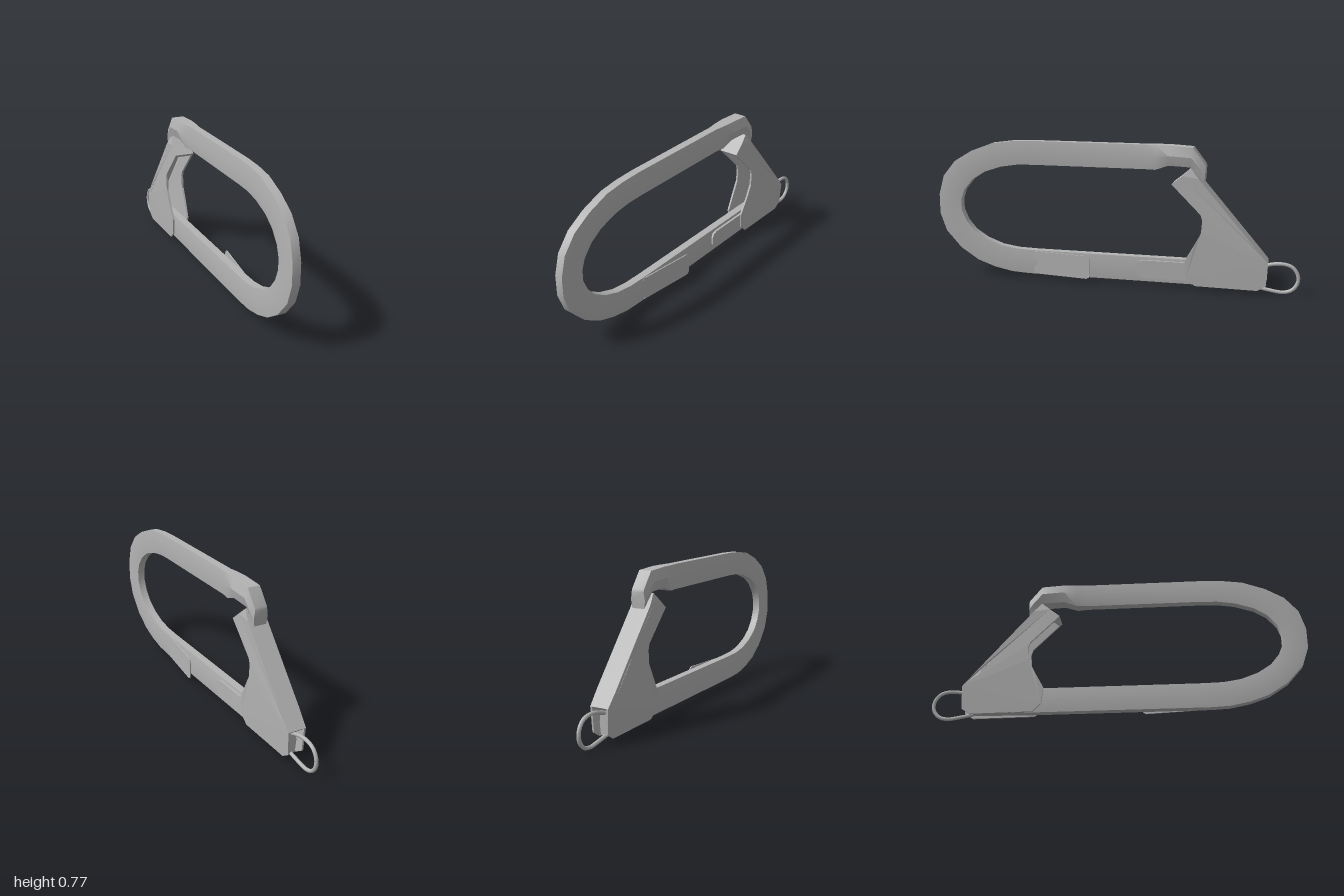
import * as THREE from 'three';
import { toCreasedNormals } from 'three/addons/utils/BufferGeometryUtils.js';

const CX = -0.005; // middle plane of the hook

// Closed loft through equal-length loops of [x, y, z] corners
function loft(loops) {
  const n = loops[0].length, idx = [], last = (loops.length - 1) * n;
  for (let i = 0; i < loops.length - 1; i++) {
    for (let j = 0; j < n; j++) {
      const a = i * n + j, b = i * n + (j + 1) % n;
      idx.push(a, b, b + n, a, b + n, a + n);
    }
  }
  for (let k = 1; k < n - 1; k++) {
    idx.push(0, k + 1, k, last, last + k, last + k + 1);
  }
  const g = new THREE.BufferGeometry();
  g.setAttribute('position', new THREE.Float32BufferAttribute(loops.flat(2), 3));
  g.setIndex(idx);
  return toCreasedNormals(g, 0.5);
}

// Flat plate from a [z, y] outline, spanning x0 to x1
function plate(pts, x0, x1) {
  const shape = new THREE.Shape(pts.map(([z, y]) => new THREE.Vector2(-z, y)));
  const g = new THREE.ExtrudeGeometry(shape, { depth: x1 - x0, bevelEnabled: false });
  g.rotateY(Math.PI / 2);
  g.translate(x0, 0, 0);
  return g;
}

// Gate narrows towards its tip and its lower edge
function taper(g) {
  const p = g.attributes.position;
  for (let i = 0; i < p.count; i++) {
    const y = p.getY(i);
    let s = 1;
    if (y > 0.61) s = 1 - (y - 0.61) * 3.6;
    else if (y < 0.25) s = 1 - (0.25 - y) * 0.85;
    p.setX(i, CX + p.getX(i) * s);
  }
  g.computeVertexNormals();
  return g;
}

export function createModel() {
  const group = new THREE.Group();
  const steel = new THREE.MeshStandardMaterial({ color: 0xb4b4b4 });
  steel.name = 'steel grey';
  const add = (name, geo) => {
    const m = new THREE.Mesh(geo, steel);
    m.name = name;
    group.add(m);
  };

  // Frame: stations of outer z, y, inner z, y, edge half width, middle half width
  const stations = [
    [-0.495, 0.67, -0.49, 0.59, 0.034, 0.04],
    [-0.49, 0.685, -0.45, 0.63, 0.034, 0.046],
    [-0.425, 0.768, -0.415, 0.665, 0.034, 0.05],
    [-0.30, 0.775, -0.30, 0.67, 0.034, 0.05],
    [-0.23, 0.775, -0.23, 0.645, 0.03, 0.042],
    [-0.17, 0.775, -0.17, 0.645, 0.022, 0.028],
    [0.45, 0.775, 0.45, 0.645],
    [0.57, 0.77, 0.54, 0.642],
    [0.68, 0.755, 0.63, 0.628],
    [0.80, 0.71, 0.73, 0.595],
    [0.90, 0.65, 0.80, 0.55],
    [0.97, 0.565, 0.85, 0.49],
    [1.0, 0.46, 0.87, 0.435],
    [1.0, 0.35, 0.87, 0.375],
    [0.965, 0.25, 0.845, 0.315],
    [0.88, 0.155, 0.80, 0.26],
    [0.78, 0.09, 0.73, 0.215],
    [0.68, 0.055, 0.64, 0.182],
    [0.58, 0.035, 0.55, 0.168],
    [0.48, 0.03, 0.45, 0.165],
    [-0.45, 0.03, -0.45, 0.165],
    [-0.79, 0.035, -0.79, 0.16],
  ];
  add('hookFrame', loft(stations.map(([oz, oy, iz, iy, e = 0.021, m = 0.027]) => {
    const mz = (oz + iz) / 2, my = (oy + iy) / 2;
    return [
      [CX - e, oy, oz], [CX - m, my, mz], [CX - e, iy, iz],
      [CX + e, iy, iz], [CX + m, my, mz], [CX + e, oy, oz],
    ];
  })));

  // Gate: two cheeks joined by a sloping spine and a closed tip
  const cheek = [
    [-0.42, 0.66], [-0.375, 0.62], [-0.32, 0.575], [-0.475, 0.42], [-0.485, 0.39],
    [-0.48, 0.32], [-0.445, 0.25], [-0.395, 0.16], [-0.405, 0.07], [-0.45, 0.028],
    [-0.78, 0.025], [-0.825, 0.055], [-0.83, 0.18], [-0.77, 0.25], [-0.462, 0.61],
  ];
  add('gateCheekLeft', taper(plate(cheek, 0.042, 0.053)));
  add('gateCheekRight', taper(plate(cheek, -0.053, -0.042)));
  add('gateSpine', taper(plate([
    [-0.42, 0.66], [-0.403, 0.645], [-0.445, 0.595], [-0.75, 0.24], [-0.815, 0.165],
    [-0.83, 0.18], [-0.77, 0.25], [-0.462, 0.61],
  ], -0.0525, 0.0525)));
  add('gateTip', taper(plate([
    [-0.42, 0.66], [-0.375, 0.62], [-0.32, 0.575], [-0.335, 0.56], [-0.435, 0.645],
  ], -0.0525, 0.0525)));

  // Rounded tongue lying on the lower bar
  add('tongue', plate([
    [-0.45, 0.15], [-0.17, 0.15], [-0.147, 0.142], [-0.135, 0.122],
    [-0.135, 0.08], [-0.147, 0.06], [-0.17, 0.052], [-0.45, 0.052],
  ], 0.015, 0.03));

  // Spring flap lifting away from the lower bar
  const flap = plate([
    [0.45, 0.032], [0.14, 0.032], [0.125, 0.04], [0.12, 0.06],
    [0.12, 0.135], [0.125, 0.152], [0.14, 0.16], [0.45, 0.16],
  ], 0, 0.006);
  const fp = flap.attributes.position;
  for (let i = 0; i < fp.count; i++) {
    fp.setX(i, fp.getX(i) + 0.013 + (0.45 - fp.getZ(i)) * 0.118);
  }
  flap.computeVertexNormals();
  add('springFlap', flap);

  // Wire lanyard loop at the rear
  const wire = [
    [-0.77, 0.035], [-0.84, 0.022], [-0.91, 0.014], [-0.955, 0.027], [-0.985, 0.066],
    [-0.986, 0.11], [-0.96, 0.15], [-0.92, 0.166], [-0.86, 0.165], [-0.79, 0.145],
  ].map(([z, y]) => new THREE.Vector3(CX, y, z));
  add('rearLoop', new THREE.TubeGeometry(new THREE.CatmullRomCurve3(wire), 28, 0.01, 8));

  return group;
}
